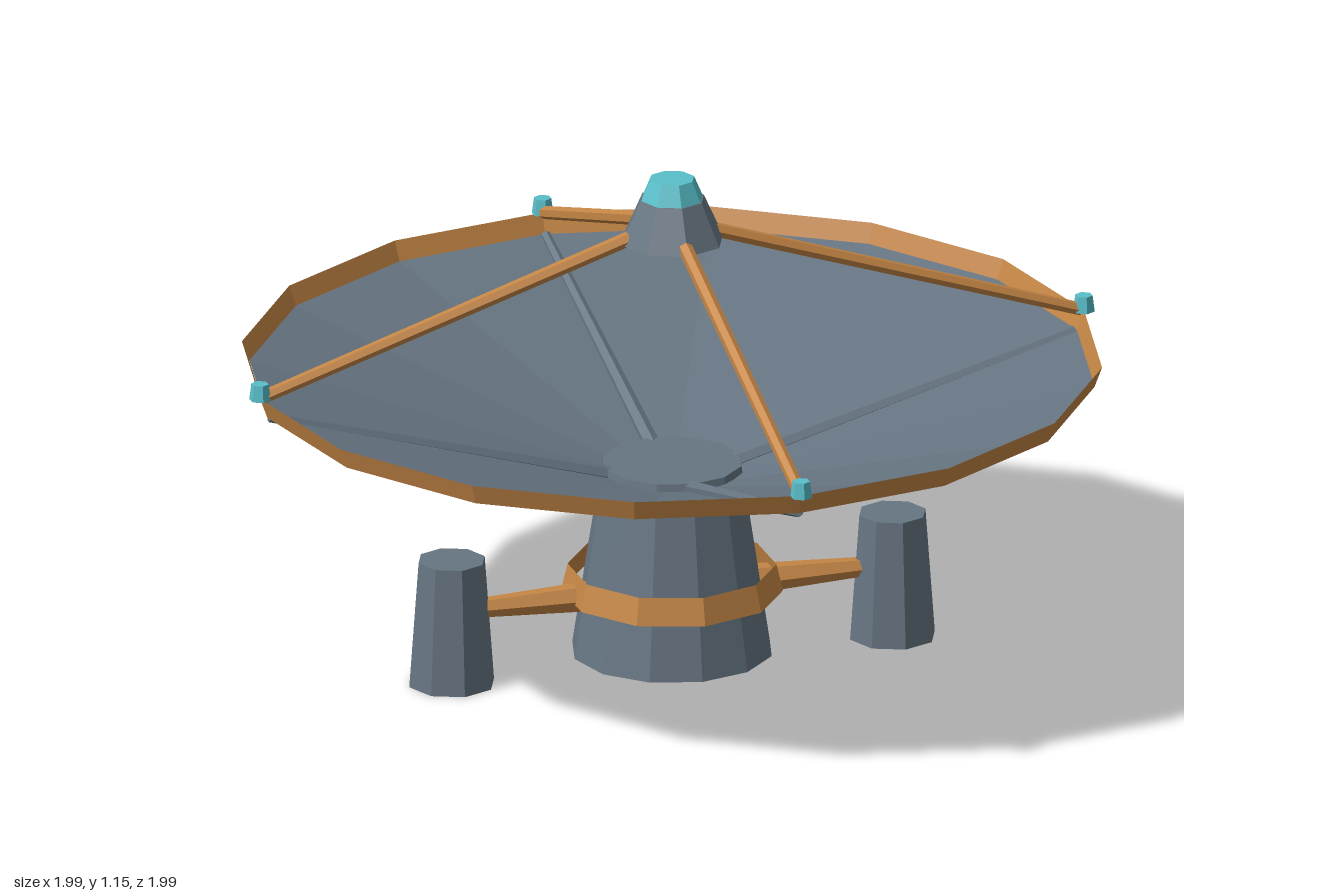
import * as THREE from 'three';

export function createModel() {
  const group = new THREE.Group();
  const mat = (name, color, side = THREE.FrontSide) => {
    const m = new THREE.MeshStandardMaterial({ color, side, flatShading: true });
    m.name = name;
    return m;
  };
  const steel = mat('steel grey', 0x667582, THREE.DoubleSide);
  const copper = mat('copper', 0xc58645, THREE.DoubleSide);
  const cyan = mat('cyan', 0x58bfca);

  // Upright tapered cylinder between two heights
  function drum(name, material, rTop, rBottom, y0, y1, sides, x = 0, z = 0, open = false) {
    const geo = new THREE.CylinderGeometry(rTop, rBottom, y1 - y0, sides, 1, open);
    const mesh = new THREE.Mesh(geo, material);
    mesh.name = name;
    mesh.position.set(x, (y0 + y1) / 2, z);
    group.add(mesh);
  }

  // Tapered bar between two points
  function bar(name, material, a, b, rA, rB, sides = 6) {
    const dir = b.clone().sub(a);
    const mesh = new THREE.Mesh(new THREE.CylinderGeometry(rB, rA, dir.length(), sides), material);
    mesh.name = name;
    mesh.position.copy(a).add(b).multiplyScalar(0.5);
    mesh.quaternion.setFromUnitVectors(new THREE.Vector3(0, 1, 0), dir.normalize());
    group.add(mesh);
  }

  // Central column with its loose collar
  drum('column', steel, 0.16, 0.23, 0.025, 0.475, 12);
  drum('collar', copper, 0.235, 0.25, 0.165, 0.228, 10, 0, 0, true);

  // Side pods on short arms
  for (const s of [-1, 1]) {
    drum('sidePod', steel, 0.078, 0.1, 0, 0.295, 8, s * 0.52);
    bar('podArm', copper, new THREE.Vector3(s * 0.19, 0.172, 0),
      new THREE.Vector3(s * 0.46, 0.172, 0), 0.035, 0.022);
  }

  // Shallow dish and its rim band
  const profile = [[0.13, 0.449], [0.955, 0.685]].map(p => new THREE.Vector2(...p));
  const dish = new THREE.Mesh(new THREE.LatheGeometry(profile, 16), steel);
  dish.name = 'dish';
  group.add(dish);
  drum('rim', copper, 0.972, 0.955, 0.683, 0.73, 16, 0, 0, true);

  // Four ribs, feed struts and rim nodes
  for (let i = 0; i < 4; i++) {
    const a = i * Math.PI / 2;
    const at = (r, y) => new THREE.Vector3(Math.sin(a) * r, y, Math.cos(a) * r);
    bar('dishRib', steel, at(0.13, 0.452), at(0.95, 0.684), 0.021, 0.012);
    bar('feedStrut', copper, at(0.965, 0.733), at(0.08, 1.026), 0.015, 0.017);
    const p = at(0.972, 0);
    drum('rimNode', cyan, 0.02, 0.025, 0.728, 0.766, 6, p.x, p.z);
  }

  // Feed horn above the dish
  drum('feedHorn', steel, 0.075, 0.12, 1.005, 1.105, 8);
  drum('feedCap', cyan, 0.052, 0.073, 1.103, 1.152, 8);

  return group;
}
